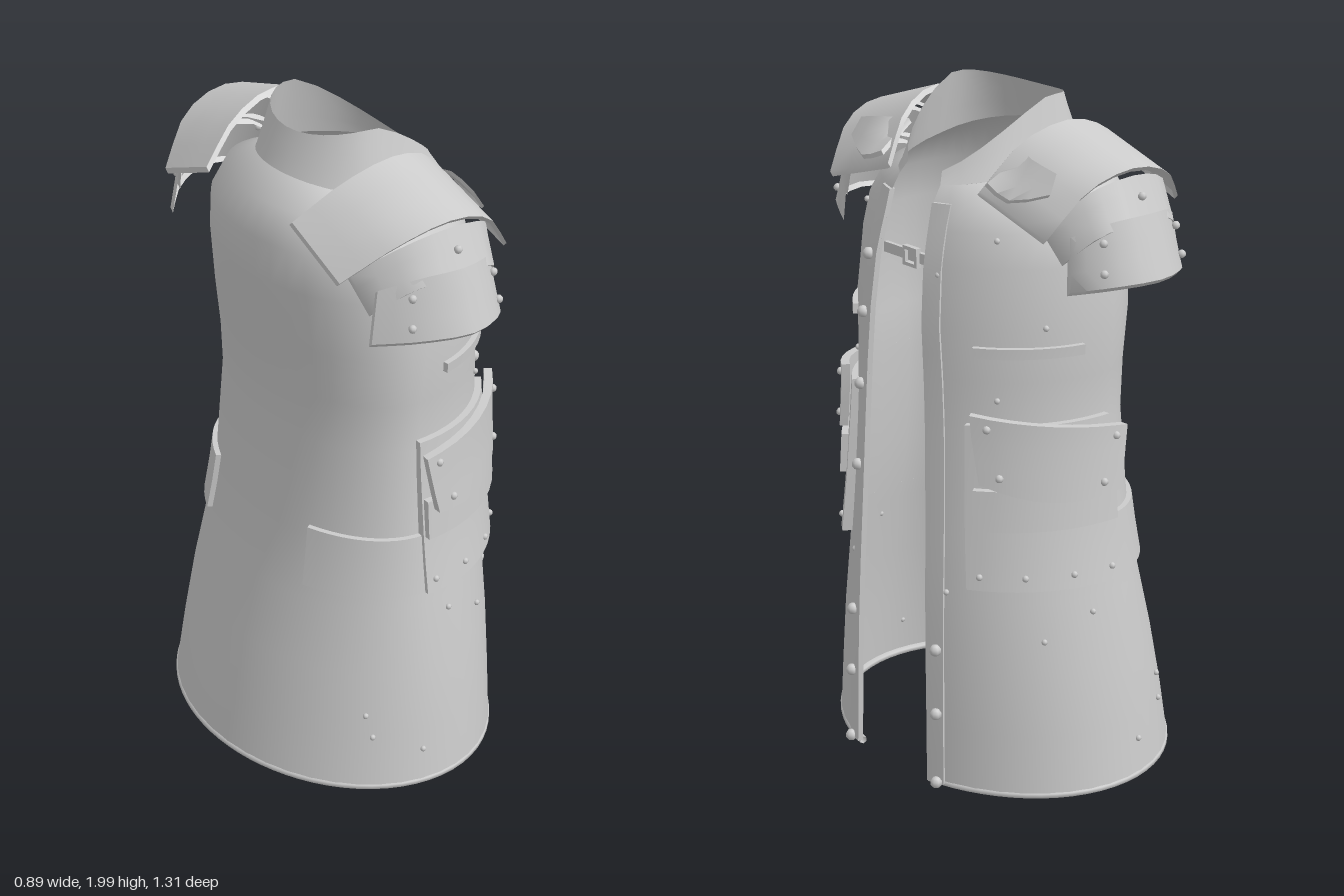
import * as THREE from 'three';
import { toCreasedNormals } from 'three/addons/utils/BufferGeometryUtils.js';

const mat = new THREE.MeshStandardMaterial({ color: 0xcccccc, side: THREE.DoubleSide });
const { lerp } = THREE.MathUtils;

// Coat levels: height, depth behind, depth in front, half width, forward drop, half opening
const LEVELS = [
  [0.03, 0.45, 0.44, 0.56, 0.02, 0.16],
  [0.2, 0.42, 0.438, 0.54, 0, 0.157],
  [0.4, 0.375, 0.435, 0.515, 0, 0.152],
  [0.6, 0.325, 0.43, 0.48, 0, 0.146],
  [0.8, 0.285, 0.422, 0.45, 0, 0.14],
  [1.1, 0.26, 0.41, 0.425, 0, 0.13],
  [1.25, 0.265, 0.403, 0.43, 0, 0.122],
  [1.4, 0.28, 0.395, 0.44, 0, 0.11],
  [1.58, 0.305, 0.375, 0.425, 0.01, 0.1],
  [1.7, 0.305, 0.35, 0.41, 0.04, 0.093],
  [1.8, 0.27, 0.335, 0.35, 0.07, 0.09],
  [1.86, 0.2, 0.32, 0.24, 0.09, 0.088],
];

function level(y) {
  let i = 0;
  while (i < LEVELS.length - 2 && y > LEVELS[i + 1][0]) i++;
  const a = LEVELS[i], b = LEVELS[i + 1];
  const t = (y - a[0]) / (b[0] - a[0]);
  return a.map((v, k) => lerp(v, b[k], t));
}

// Point on the coat; angle 0 faces +x, off pushes it outward
function onCoat(y, angle, off = 0) {
  const [, back, front, half, drop] = level(y);
  const c = Math.cos(angle);
  return new THREE.Vector3(
    ((c > 0 ? front : back) + off) * c, y - drop * (1 + c) / 2, (half + off) * Math.sin(angle));
}

const edgeAngle = (y, extra = 0) => {
  const l = level(y);
  return Math.asin((l[5] + extra) / l[3]);
};

// Sheet whose vertices follow fn(u, v)
function sheet(fn, nu, nv, crease) {
  const geo = new THREE.PlaneGeometry(1, 1, nu, nv);
  const pos = geo.attributes.position;
  for (let j = 0; j <= nv; j++) for (let i = 0; i <= nu; i++) {
    const p = fn(i, j);
    pos.setXYZ(j * (nu + 1) + i, p.x, p.y, p.z);
  }
  geo.computeVertexNormals();
  return crease ? toCreasedNormals(geo, crease) : geo;
}

// Raised panel on side s: fn(u, v, rim), with a rim turned back under the border
function panel(fn, s, nu = 8, nv = 4) {
  return sheet((i, j) => {
    const rim = i === 0 || j === 0 || i === nu + 2 || j === nv + 2;
    const u = THREE.MathUtils.clamp((i - 1) / nu, 0, 1);
    const v = THREE.MathUtils.clamp((j - 1) / nv, 0, 1);
    const p = fn(s > 0 ? 1 - u : u, v, rim);
    p.z *= s;
    return p;
  }, nu + 2, nv + 2, 0.7);
}

// Plate running between two curves of points
function plate(top, bottom, s, thick = 0.018, n = 10) {
  const curve = pts => new THREE.CatmullRomCurve3(pts.map(p => new THREE.Vector3(...p)));
  const a = curve(top), b = curve(bottom);
  return panel((u, v, rim) => {
    const p = a.getPoint(u).lerp(b.getPoint(u), v);
    if (rim) { p.y -= thick * 0.7; p.z -= thick * 0.7; }
    return p;
  }, s, n, 3);
}

export function createModel() {
  const root = new THREE.Group();
  const add = (name, geo) => {
    const m = new THREE.Mesh(geo, mat);
    m.name = name;
    root.add(m);
    return m;
  };

  // Coat body, open along the +x side
  const rows = LEVELS.map(l => l[0]).reverse();
  add('coatBody', sheet((i, j) => {
    const e = edgeAngle(rows[j]);
    return onCoat(rows[j], lerp(Math.PI * 2 - e, e, i / 40));
  }, 40, rows.length - 1));

  // Standing collar that falls toward the opening
  const neck = edgeAngle(1.86);
  add('collar', sheet((i, j) => {
    const a = lerp(Math.PI * 2 - neck, neck, i / 24), c = Math.cos(a);
    const y = c > 0 ? 1.998 - 0.21 * Math.pow(c, 1.3) : 1.998 - 0.028 * c * c;
    const top = new THREE.Vector3((c > 0 ? 0.3 : 0.155) * c, y, 0.2 * Math.sin(a));
    return top.lerp(onCoat(1.86, a), j / 3);
  }, 24, 3));

  // Rolled hem
  const hemEdge = edgeAngle(0.03);
  const hem = Array.from({ length: 33 }, (_, i) =>
    onCoat(0.035, lerp(hemEdge, Math.PI * 2 - hemEdge, i / 32), -0.008));
  add('hemTrim', new THREE.TubeGeometry(new THREE.CatmullRomCurve3(hem), 64, 0.012, 6));

  const rivetGeo = new THREE.SphereGeometry(1, 7, 5);
  const stud = (name, p, r) => {
    const m = add(name, rivetGeo);
    m.position.copy(p);
    m.scale.setScalar(r);
  };

  for (const s of [1, -1]) {
    const side = s > 0 ? 'left' : 'right';
    const mirror = p => new THREE.Vector3(p.x, p.y, p.z * s);

    // Front placket strip
    add(side + 'Placket', panel((u, v, rim) => {
      const y = lerp(1.8, 0.035, v);
      return onCoat(y, edgeAngle(y, 0.055 * u), rim ? -0.008 : 0.008);
    }, s, 2, 22));

    // Placket buttons
    const heights = s > 0 ? [0.04, 0.24, 0.44, 0.9, 1.15, 1.37, 1.55] : [0.04, 0.24, 0.44];
    for (const y of heights) stud('button', mirror(onCoat(y, edgeAngle(y, 0.035), 0.014)), 0.018);

    // Chest welt
    add(side + 'ChestWelt', panel((u, v, rim) =>
      onCoat(lerp(1.355, 1.325, v), lerp(0.62, 1.38, u), rim ? 0 : 0.016), s, 8, 1));

    // Low band continuing the pocket round the back
    add(side + 'PocketBand', panel((u, v, rim) =>
      onCoat(lerp(0.83, 0.65, v), lerp(1.5, 2.6, u), rim ? 0 : 0.016), s, 12, 2));

    // Pocket bag
    add(side + 'Pocket', panel((u, v, rim) =>
      onCoat(lerp(1.13, 0.65, v), lerp(0.6, 1.62, u), rim ? 0 : lerp(0.02, 0.03, v)), s, 10, 5));

    // Pocket fold
    add(side + 'PocketFold', panel((u, v, rim) =>
      onCoat(lerp(0.95, 0.83, v), lerp(0.66, 1.6, u), rim ? 0.015 : 0.045), s, 8, 2));

    // Slanted pocket flap with a sagging lower edge
    const flap = (u, v, rim) => {
      const y = lerp(1.17 - 0.06 * u, 0.97 - 0.04 * u - 0.03 * Math.sin(Math.PI * u), v);
      return onCoat(y, lerp(0.64 + 0.06 * v, 1.66 - 0.1 * v, u), (rim ? 0.025 : 0.05) + 0.03 * u);
    };
    add(side + 'PocketFlap', panel(flap, s, 8, 3));
    for (const [u, v] of [[0.1, 0.15], [0.9, 0.15], [0.15, 0.8], [0.85, 0.8]])
      stud('flapRivet', mirror(flap(u, v, false)), 0.012);
    for (const u of [0.08, 0.35, 0.65, 0.92])
      stud('pocketRivet', mirror(onCoat(0.69, lerp(0.6, 1.62, u), 0.03)), 0.01);

    // Upper shoulder plate
    add(side + 'ShoulderPlate', plate(
      [[-0.28, 1.8, 0.21], [-0.15, 1.9, 0.26], [0, 1.945, 0.28], [0.14, 1.9, 0.25], [0.25, 1.77, 0.2]],
      [[-0.28, 1.71, 0.43], [-0.15, 1.82, 0.515], [0, 1.86, 0.54], [0.14, 1.82, 0.52], [0.25, 1.69, 0.47]], s));

    // Middle shoulder band
    add(side + 'ShoulderBand', plate(
      [[-0.24, 1.72, 0.42], [-0.13, 1.81, 0.51], [0, 1.84, 0.54], [0.13, 1.81, 0.51], [0.22, 1.72, 0.42]],
      [[-0.21, 1.62, 0.48], [-0.13, 1.7, 0.56], [0, 1.72, 0.59], [0.13, 1.7, 0.56], [0.19, 1.62, 0.48]], s));

    // Lower flared shoulder plate
    add(side + 'LowerShoulderPlate', plate(
      [[-0.2, 1.69, 0.49], [-0.11, 1.73, 0.56], [0, 1.745, 0.6], [0.11, 1.73, 0.56], [0.18, 1.69, 0.49]],
      [[-0.225, 1.54, 0.5], [-0.13, 1.565, 0.6], [0, 1.575, 0.655], [0.13, 1.565, 0.6], [0.19, 1.54, 0.5]], s));
    for (const [x, y, z] of [[-0.14, 1.68, 0.565], [0.13, 1.68, 0.565], [-0.15, 1.6, 0.58],
      [0.14, 1.6, 0.58], [0, 1.79, 0.575]])
      stud('shoulderRivet', new THREE.Vector3(x, y, z * s), 0.012);

    // Folded shoulder strap
    add(side + 'ShoulderStrap', plate(
      [[0.13, 1.87, 0.25], [0.17, 1.87, 0.32], [0.17, 1.85, 0.42]],
      [[0.25, 1.8, 0.23], [0.25, 1.77, 0.32], [0.2, 1.8, 0.43]], s, 0.015, 4));

    // Small rivets over the cloth
    for (const [y, a] of [[1.68, 0.75], [1.55, 0.35], [1.41, 1.1], [1.2, 0.8], [0.62, 0.45], [0.56, 1.4],
      [0.49, 1.05], [0.27, 2.1], [0.2, 2.05], [0.14, 1.7]])
      stud('clothRivet', mirror(onCoat(y, a, 0.003)), 0.009);
  }

  // Chest strap and buckle across the opening
  const strap = add('chestStrap', new THREE.BoxGeometry(0.012, 0.03, 0.18));
  strap.position.set(0.35, 1.57, 0);
  const buckle = new THREE.Shape();
  buckle.moveTo(-0.03, -0.028).lineTo(0.03, -0.028).lineTo(0.03, 0.028).lineTo(-0.03, 0.028);
  const hole = new THREE.Path();
  hole.moveTo(-0.02, -0.018).lineTo(-0.02, 0.018).lineTo(0.02, 0.018).lineTo(0.02, -0.018);
  buckle.holes.push(hole);
  const frame = add('strapBuckle', new THREE.ExtrudeGeometry(buckle, { depth: 0.016, bevelEnabled: false }));
  frame.rotation.y = Math.PI / 2;
  frame.position.set(0.351, 1.57, -0.035);

  return root;
}
